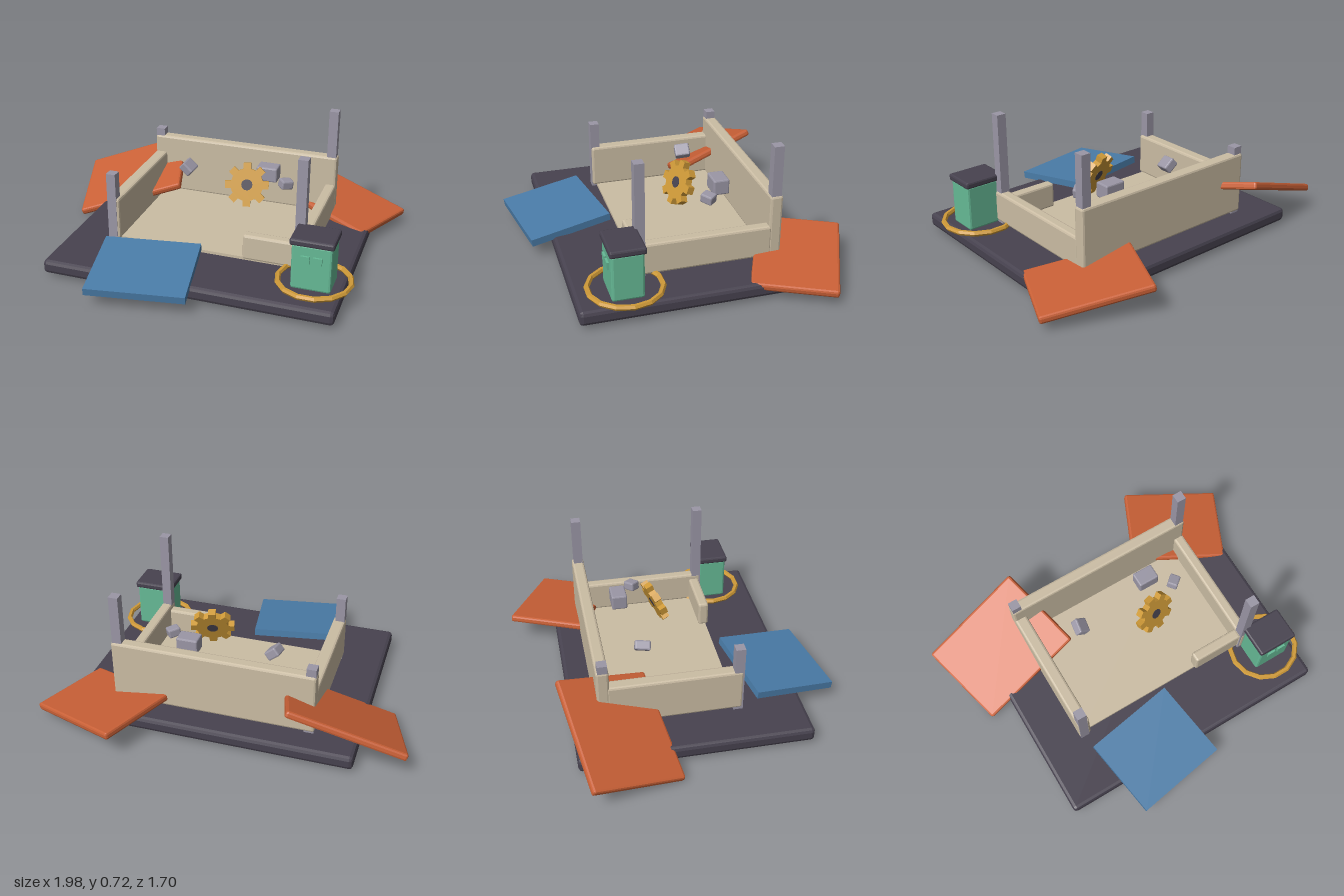
import * as THREE from 'three';
import { RoundedBoxGeometry } from 'three/addons/geometries/RoundedBoxGeometry.js';

const paint = (name, color) => {
  const m = new THREE.MeshStandardMaterial({ color });
  m.name = name;
  return m;
};

export function createModel() {
  const group = new THREE.Group();
  const slate = paint('slate', 0x47424f);
  const cream = paint('cream', 0xcbbda4);
  const grey = paint('grey', 0x9b97a6);
  const orange = paint('orange', 0xc96036);
  const blue = paint('blue', 0x4a7ca8);
  const green = paint('green', 0x66ba96);
  const gold = paint('gold', 0xcf9a38);

  const add = (name, geometry, material, parent = group) => {
    const mesh = new THREE.Mesh(geometry, material);
    mesh.name = name;
    parent.add(mesh);
    return mesh;
  };

  // Box with chamfered edges (plain when bevel is 0)
  const block = (w, h, d, bevel) => {
    if (!bevel) return new THREE.BoxGeometry(w, h, d);
    const g = new RoundedBoxGeometry(w, h, d, 1, bevel);
    g.computeVertexNormals();
    return g;
  };

  // Box given by its limits on each axis
  const span = (name, [x0, x1], [y0, y1], [z0, z1], bevel, material) => {
    const mesh = add(name, block(x1 - x0, y1 - y0, z1 - z0, bevel), material);
    mesh.position.set((x0 + x1) / 2, (y0 + y1) / 2, (z0 + z1) / 2);
    return mesh;
  };

  // Tilted slab given by its centre and two edge vectors
  const slab = (name, centre, edgeU, edgeV, thick, bevel, material) => {
    const u = new THREE.Vector3(...edgeU);
    const v = new THREE.Vector3(...edgeV);
    const mesh = add(name, block(u.length(), thick, v.length(), bevel), material);
    const x = u.clone().normalize();
    const y = v.clone().cross(u).normalize();
    const z = x.clone().cross(y);
    mesh.quaternion.setFromRotationMatrix(new THREE.Matrix4().makeBasis(x, y, z));
    mesh.position.set(...centre);
  };

  // Ground plate and room floor
  span('basePlate', [-0.735, 0.835], [0.028, 0.104], [-0.595, 0.645], 0.02, slate);
  span('floor', [-0.475, 0.58], [0.1, 0.12], [-0.43, 0.285], 0, cream);

  // Broken walls of different heights
  span('backWall', [-0.503, 0.607], [0.115, 0.458], [-0.462, -0.395], 0.012, cream);
  span('rightWall', [-0.503, -0.433], [0.115, 0.355], [-0.41, 0.31], 0.012, cream);
  span('leftWall', [0.547, 0.607], [0.115, 0.288], [-0.41, 0.315], 0.012, cream);
  span('frontWallStub', [0.265, 0.56], [0.115, 0.258], [0.243, 0.302], 0.012, cream);

  // Corner posts, tall on one side and snapped on the other
  for (const [x, top] of [[-0.474, 0.5], [0.574, 0.732]])
    for (const z of [-0.427, 0.287])
      span('cornerPost', [x - 0.026, x + 0.026], [0.1, top], [z - 0.026, z + 0.026], 0, grey);

  // Fallen panels
  slab('fallenPanelRight', [-0.634, 0.19, -0.369], [0.6, 0.22, -0.107], [0.135, -0.12, 0.475], 0.04, 0.012, orange);
  slab('fallenPanelLeft', [0.643, 0.122, -0.538], [0.51, -0.085, 0.233], [-0.187, 0.01, 0.4], 0.04, 0.012, orange);
  slab('fallenPanelFront', [-0.178, 0.126, 0.581], [0.515, 0, -0.087], [0.077, -0.058, 0.445], 0.04, 0, blue);

  // Cabinet with lid and two front buttons
  span('cabinetBody', [0.57, 0.778], [0.1, 0.355], [0.308, 0.474], 0.012, green);
  span('cabinetLid', [0.56, 0.787], [0.347, 0.384], [0.298, 0.483], 0.01, slate);
  for (const x of [0.643, 0.706])
    span('cabinetButton', [x - 0.023, x + 0.023], [0.257, 0.297], [0.47, 0.485], 0, green);

  // Ring lying round the cabinet
  const ringGeo = new THREE.TorusGeometry(0.19, 0.015, 6, 14).toNonIndexed();
  ringGeo.computeVertexNormals();
  const ring = add('groundRing', ringGeo, gold);
  ring.rotation.x = Math.PI / 2;
  ring.position.set(0.676, 0.118, 0.385);

  // Tilted gear with eight teeth and a dark hub
  const gear = new THREE.Group();
  gear.name = 'gear';
  gear.position.set(0.184, 0.388, -0.036);
  gear.rotation.set(-0.36, 0.26, 0, 'YXZ');
  group.add(gear);
  const outline = [];
  for (let i = 0; i < 8; i++)
    for (const [da, r] of [[-0.24, 0.09], [-0.17, 0.122], [0.17, 0.122], [0.24, 0.09]]) {
      const a = (i / 8) * Math.PI * 2 + da;
      outline.push(new THREE.Vector2(r * Math.cos(a), r * Math.sin(a)));
    }
  const gearShape = new THREE.Shape(outline);
  gearShape.holes.push(new THREE.Path().absarc(0, 0, 0.03, 0, Math.PI * 2, true));
  const gearGeo = new THREE.ExtrudeGeometry(gearShape, { depth: 0.04, bevelEnabled: false, curveSegments: 6 });
  add('gearWheel', gearGeo.translate(0, 0, -0.02), gold, gear);
  add('gearHub', new THREE.CylinderGeometry(0.031, 0.031, 0.042, 12).rotateX(Math.PI / 2), slate, gear);

  // Loose rubble
  const rubble = [
    [[0.075, 0.052, 0.085], [-0.21, 0.38, -0.175], [0.1, -0.15, -0.7]],
    [[0.12, 0.085, 0.088], [0.25, 0.388, -0.237], [0, 0, 0]],
    [[0.07, 0.05, 0.06], [0.378, 0.378, -0.14], [0.1, 0.7, -0.2]],
  ];
  for (const [size, position, rotation] of rubble) {
    const chunk = add('rubble', block(...size, 0.008), grey);
    chunk.position.set(...position);
    chunk.rotation.set(...rotation);
  }

  return group;
}
